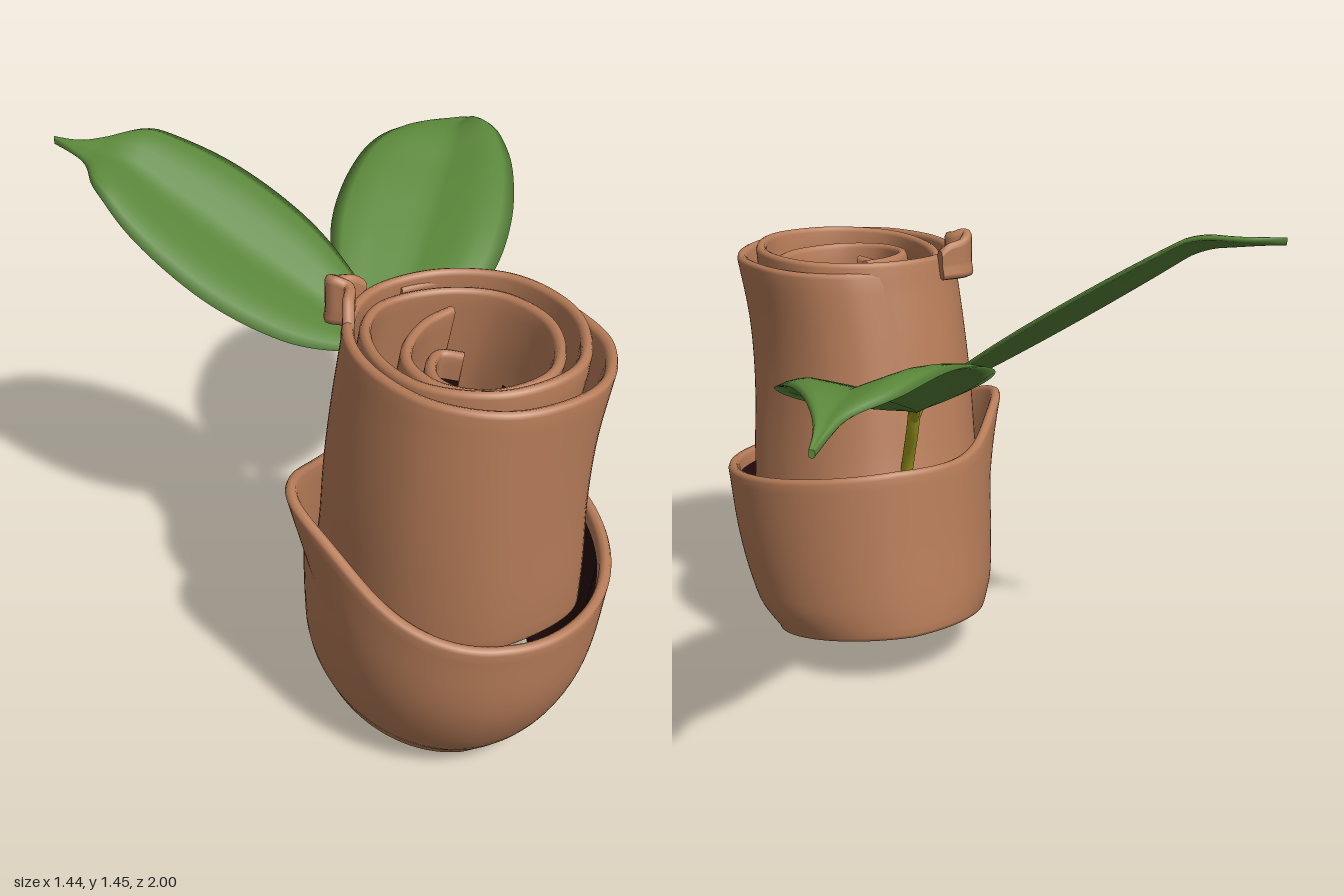
import * as THREE from 'three';

const V = (x, y, z) => new THREE.Vector3(x, y, z);
const material = (name, color) => {
  const m = new THREE.MeshStandardMaterial({ color });
  m.name = name;
  return m;
};

// Smooth value through a few keyed samples
function keyed(times, values) {
  const k = new THREE.CubicInterpolant(times, values, 1);
  return (t) => k.evaluate(t)[0];
}

// Skin over closed cross-sections; isDark(i, j) selects the second material
function loft(rings, closed, isDark = () => false) {
  const n = rings.length, m = rings[0].length, pos = [], lists = [[], []];
  rings.forEach((r) => r.forEach((p) => pos.push(p.x, p.y, p.z)));
  for (let i = 0; i < (closed ? n : n - 1); i++) {
    for (let j = 0; j < m; j++) {
      const i2 = (i + 1) % n, j2 = (j + 1) % m;
      const a = i * m + j, b = i2 * m + j, c = i2 * m + j2, d = i * m + j2;
      lists[isDark(i, j) ? 1 : 0].push(a, b, c, a, c, d);
    }
  }
  if (!closed) {
    [0, n - 1].forEach((i) => {
      const c = V(0, 0, 0), start = pos.length / 3;
      rings[i].forEach((p) => { c.addScaledVector(p, 1 / m); pos.push(p.x, p.y, p.z); });
      pos.push(c.x, c.y, c.z);
      for (let j = 0; j < m; j++) {
        const a = start + j, b = start + ((j + 1) % m);
        if (i === 0) lists[0].push(start + m, a, b);
        else lists[0].push(start + m, b, a);
      }
    });
  }
  // Turn every face outward
  const at = (k) => V(pos[3 * k], pos[3 * k + 1], pos[3 * k + 2]);
  const all = [...lists[0], ...lists[1]];
  let volume = 0;
  for (let k = 0; k < all.length; k += 3) volume += at(all[k]).dot(at(all[k + 1]).cross(at(all[k + 2])));
  if (volume < 0) for (let k = 0; k < all.length; k += 3) [all[k + 1], all[k + 2]] = [all[k + 2], all[k + 1]];
  const g = new THREE.BufferGeometry();
  g.setAttribute('position', new THREE.Float32BufferAttribute(pos, 3));
  g.setIndex(all);
  g.addGroup(0, lists[0].length, 0);
  g.addGroup(lists[0].length, lists[1].length, 1);
  g.computeVertexNormals();
  return g;
}

// Wall section as [height fraction, side from +1 outer to -1 inner, rim lift from -1 to 1]
const LEVELS = 18;
const SECTION = [];
for (let k = 0; k <= LEVELS; k++) SECTION.push([k / LEVELS, 1, 0]);
for (const a of [45, 90, 135]) SECTION.push([1, Math.cos(a * Math.PI / 180), Math.sin(a * Math.PI / 180)]);
for (let k = LEVELS; k >= 0; k--) SECTION.push([k / LEVELS, -1, 0]);
for (const a of [225, 270, 315]) SECTION.push([0, Math.cos(a * Math.PI / 180), Math.sin(a * Math.PI / 180)]);
const isInner = (j) => j >= LEVELS + 4 && j < 2 * LEVELS + 4;

// Lower wrap: a leaning cup without a floor, with a raised lip on one side
function wrapGeometry() {
  const t = [0, 0.13, 0.3, 0.55, 1], N = 144, h = 0.016;
  const left = keyed(t, [-0.145, -0.175, -0.188, -0.197, -0.2]);
  const right = keyed(t, [0.515, 0.56, 0.585, 0.608, 0.63]);
  const back = keyed(t, [0.03, 0.033, 0.04, 0.052, 0.07]);
  const front = keyed(t, [0.77, 0.84, 0.905, 0.965, 1.0]);
  const rings = [];
  for (let i = 0; i < N; i++) {
    const a = (i / N) * Math.PI * 2, c = Math.cos(a), s = Math.sin(a);
    const off = (a * 180) / Math.PI - 182;
    const bump = Math.exp(-((off / (off < 0 ? 46 : 32)) ** 2));
    const lip = Math.exp(-((off / 20) ** 2));
    rings.push(SECTION.map(([v, side, lift]) => {
      const l = left(v), r = right(v), b = back(v), f = front(v), d = h * (side - 1);
      const x = (l + r) / 2 + ((r - l) / 2 + d) * c - 0.055 * lip * Math.max(0, v - 0.66) / 0.34;
      const z = (b + f) / 2 + ((f - b) / 2 + d) * s;
      const low = 0.015 + 0.23 * (0.77 - (0.4 + 0.37 * s)) + 0.03 * Math.max(0, -c);
      const high = 0.548 + 0.065 * (1 - s) + 0.165 * bump - 0.025 * Math.max(0, c);
      return V(x, low + (high - low) * v + lift * h, z);
    }));
  }
  return loft(rings, true, (i, j) => {
    const deg = ((i / N) * 360 + 180) % 360 - 180;
    const ragged = 3 * Math.sin(j * 1.1);
    const depth = (j - LEVELS - 4) / LEVELS;
    return isInner(j) && depth > 0.05 && deg > -38 + ragged && deg < 108 + 32 * depth + ragged;
  });
}

// The roll leans and flares: maps a plan position at the top to any height
const ys = [0.4, 0.62, 0.85, 1.05, 1.25];
const rollLeft = keyed(ys, [-0.165, -0.155, -0.148, -0.132, -0.11]);
const rollRight = keyed(ys, [0.55, 0.535, 0.52, 0.525, 0.555]);
const rollBack = keyed(ys, [0.08, 0.15, 0.195, 0.228, 0.26]);
const rollFront = keyed(ys, [0.935, 0.965, 0.98, 0.987, 0.99]);
function lean(x, y, z) {
  const u = (x - 0.22) / 0.33, w = (z - 0.625) / 0.365;
  const l = rollLeft(y), r = rollRight(y), b = rollBack(y), f = rollFront(y);
  return V((l + r) / 2 + ((r - l) / 2) * u, y, (b + f) / 2 + ((f - b) / 2) * w);
}

// Upright bark sheet following a plan path; inset(t, y) pushes it toward the middle
function sheetGeometry(points, samples, low, high, isDark, inset = () => 0) {
  const curve = new THREE.SplineCurve(points.map(([x, z]) => new THREE.Vector2(x, z)));
  const h = 0.015, rings = [];
  for (let i = 0; i <= samples; i++) {
    const t = i / samples, p = curve.getPointAt(t), d = curve.getTangentAt(t);
    rings.push(SECTION.map(([v, side, lift]) => {
      const y = low(t) + (high(t) - low(t)) * v + lift * h;
      const out = side * h - inset(t, y);
      return lean(p.x - d.y * out, y, p.y + d.x * out);
    }));
  }
  return loft(rings, false, isDark);
}

// Leaf between two plan edges, lifted by a height rule and folded along the midrib
function leafGeometry(edgeA, edgeB, foldDepth, height) {
  const curve = (e) => new THREE.SplineCurve(e.map(([x, z]) => new THREE.Vector2(x, z)));
  const A = curve(edgeA), B = curve(edgeB), N = 48, M = 14, rings = [];
  for (let i = 0; i <= N; i++) {
    const t = i / N, a = A.getPointAt(t), b = B.getPointAt(t), ring = [];
    const width = a.distanceTo(b);
    for (let k = 0; k < 2 * M; k++) {
      const s = k <= M ? k / M : 2 - k / M;
      const x = a.x + (b.x - a.x) * s, z = a.y + (b.y - a.y) * s;
      const across = Math.abs(2 * s - 1);
      const fold = width * foldDepth * (Math.min(1, across * 1.6) - 0.6 - 0.2 * across ** 4);
      const thick = (k <= M ? 1 : -1) * 0.01 * Math.sqrt(Math.max(0, 1 - across ** 4));
      ring.push(V(x, height(x, z, t) + fold + thick, z));
    }
    rings.push(ring);
  }
  return loft(rings, false);
}

export function createModel() {
  const model = new THREE.Group();
  const bark = material('cinnamon bark', 0xb87d59);
  const dark = material('dark hollow', 0x260d0c);
  const green = material('leaf green', 0x598539);
  const olive = material('stem olive', 0xa3a01f);
  const add = (name, geometry, mat) => {
    const mesh = new THREE.Mesh(geometry, mat);
    mesh.name = name;
    model.add(mesh);
  };

  add('lowerWrap', wrapGeometry(), [bark, dark]);

  // Spiral roll, from the inner tip out to the outer edge
  const spiral = [[0.2, 0.445], [0.12, 0.49], [0.05, 0.58], [0.03, 0.68], [0.08, 0.78], [0.2, 0.83],
    [0.35, 0.78], [0.425, 0.65], [0.43, 0.5], [0.35, 0.37], [0.2, 0.325], [0.04, 0.37], [-0.04, 0.5],
    [-0.045, 0.68], [0.03, 0.83], [0.2, 0.905], [0.39, 0.84], [0.475, 0.66], [0.465, 0.49], [0.375, 0.345],
    [0.2, 0.285], [0.02, 0.34], [-0.085, 0.5], [-0.085, 0.7], [0.02, 0.89], [0.21, 0.97], [0.43, 0.89],
    [0.53, 0.7], [0.5, 0.5], [0.42, 0.36], [0.31, 0.29], [0.2, 0.285], [0.1, 0.31]];
  const SAMPLES = 300;
  const rollHigh = keyed([0, 0.12, 0.25, 0.42, 0.6, 0.73, 0.85, 1], [1.24, 1.22, 1.23, 1.265, 1.265, 1.255, 1.235, 1.24]);
  const rollLow = keyed([0, 0.35, 0.48, 0.57, 0.7, 0.77, 0.82, 0.88, 1], [0.62, 0.58, 0.55, 0.42, 0.41, 0.53, 0.53, 0.42, 0.4]);
  const hollow = (t) => (t > 0.09 && t < 0.22 ? Math.sin((Math.PI * (t - 0.09)) / 0.13) : 0);
  add('barkRoll', sheetGeometry(spiral, SAMPLES, rollLow, rollHigh, (i, j) => {
    const t = i / SAMPLES, v = SECTION[j][0], edge = 0.004 * Math.sin(j * 1.3);
    const inHollow = t > 0.11 + edge && t < 0.2 + edge && v < 0.65;
    const inFront = t > 0.77 && t < 0.9 && v < 0.3;
    return isInner(j) && (inHollow || inFront);
  }, (t, y) => 0.075 * hollow(t) * THREE.MathUtils.smoothstep(1.05 - y, 0, 0.35)), [bark, dark]);

  // Small curl in the middle of the roll, dark below its rim
  add('innerCurl', sheetGeometry([[0.21, 0.57], [0.15, 0.55], [0.11, 0.61], [0.1, 0.69], [0.14, 0.77]], 30,
    () => 0.8, (t) => 1.17 + 0.02 * t, (i, j) => SECTION[j][0] < 0.85 && isInner(j),
    (t, y) => 0.04 * Math.sin(Math.PI * t) * THREE.MathUtils.smoothstep(1.1 - y, 0, 0.2)), [bark, dark]);

  // Crumpled flap on the rim
  add('tornFlap', sheetGeometry([[0.0, 0.325], [-0.07, 0.34], [-0.1, 0.375], [-0.06, 0.405], [-0.075, 0.46], [-0.09, 0.53]], 40,
    () => 1.22, (t) => 1.28 + 0.05 * Math.sin(t * Math.PI) - 0.04 * t ** 4 + 0.005 * Math.sin(t * 19)), bark);

  // Stem and the two leaf stalks
  const stalk = (name, points, radius) => add(name,
    new THREE.TubeGeometry(new THREE.CatmullRomCurve3(points.map((p) => V(...p))), 16, radius, 10), olive);
  stalk('stem', [[0.16, 0.64, 0.18], [0.16, 0.72, 0.145], [0.165, 0.82, 0.085], [0.17, 0.91, 0.04]], 0.019);
  stalk('longLeafStalk', [[0.167, 0.86, 0.06], [0.18, 0.91, 0.01], [0.2, 0.935, -0.04]], 0.015);
  stalk('shortLeafStalk', [[0.167, 0.86, 0.06], [0.14, 0.92, 0.05], [0.1, 0.95, 0.035]], 0.015);

  // Long leaf: height follows depth
  const longRise = keyed([0, 0.2, 0.4, 0.6, 0.76, 0.9, 1], [0.91, 1.015, 1.105, 1.18, 1.22, 1.19, 1.145]);
  add('longLeaf', leafGeometry(
    [[0.17, 0.01], [0.08, -0.1], [0.05, -0.26], [0.1, -0.45], [0.24, -0.67], [0.43, -0.83], [0.59, -0.9], [0.65, -0.945], [0.705, -1]],
    [[0.18, 0.01], [0.33, -0.03], [0.51, -0.15], [0.63, -0.33], [0.695, -0.53], [0.705, -0.68], [0.685, -0.82], [0.69, -0.92], [0.72, -0.995]],
    0.105, (x, z) => longRise(-z)), green);

  // Short leaf: a tilted plane with a drooping tip
  add('shortLeaf', leafGeometry(
    [[0.13, 0.05], [0.12, -0.08], [0.0, -0.27], [-0.2, -0.4], [-0.42, -0.45], [-0.57, -0.435], [-0.65, -0.44], [-0.72, -0.475]],
    [[0.13, 0.06], [0.0, 0.105], [-0.18, 0.12], [-0.38, 0.06], [-0.55, -0.07], [-0.635, -0.21], [-0.65, -0.34], [-0.72, -0.465]],
    0.07, (x, z, t) => 1.01 - 0.4 * x - 0.565 * z - 0.14 * Math.max(0, (t - 0.72) / 0.28) ** 1.4), green);

  return model;
}
